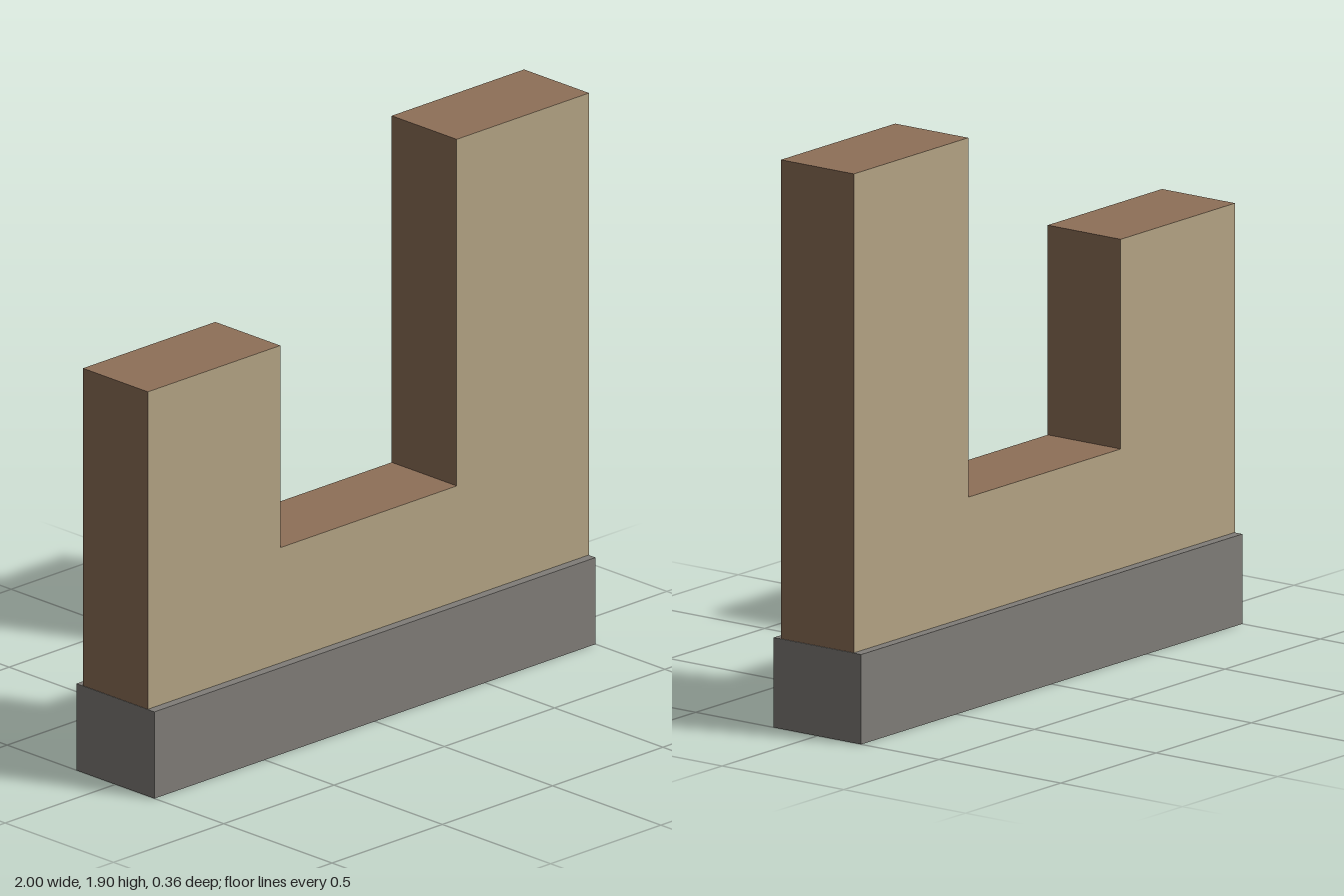
import * as THREE from 'three';

const WIDTH = 2, BASE_H = 0.3, BASE_D = 0.36, WALL_D = 0.3;

export function createModel() {
  const tan = new THREE.MeshStandardMaterial({ color: 0xb4a484 });
  tan.name = 'tan wall face';
  const brown = new THREE.MeshStandardMaterial({ color: 0x8e7058 });
  brown.name = 'brown wall edge';
  const grey = new THREE.MeshStandardMaterial({ color: 0x807d78, side: THREE.DoubleSide });
  grey.name = 'grey base';

  const model = new THREE.Group();
  model.name = 'steppedWall';
  const add = (name, geometry, material, x, y, z) => {
    const mesh = new THREE.Mesh(geometry, material);
    mesh.name = name;
    mesh.position.set(x, y, z);
    model.add(mesh);
  };

  // Wall with a low middle and two towers: tan faces, brown edges.
  // It starts a hair above the base top so the two surfaces do not coincide.
  const outline = new THREE.Shape([
    [-1, BASE_H + 0.001], [1, BASE_H + 0.001], [1, 1.9], [0.4, 1.9],
    [0.4, 0.7], [-0.4, 0.7], [-0.4, 1.4], [-1, 1.4],
  ].map(([x, y]) => new THREE.Vector2(x, y)));
  const wall = new THREE.ExtrudeGeometry(outline, { depth: WALL_D, bevelEnabled: false });
  add('wall', wall, [tan, brown], 0, 0, -WALL_D / 2);

  // Hollow base, open underneath: drop the box's bottom face
  const shell = new THREE.BoxGeometry(WIDTH, BASE_H, BASE_D);
  const faces = Array.from(shell.index.array);
  faces.splice(18, 6);
  shell.setIndex(faces);
  shell.clearGroups();
  add('baseShell', shell, grey, 0, BASE_H / 2, 0);

  // Thin partitions under the tower edges
  for (const x of [-0.4, 0.4]) {
    const partition = new THREE.PlaneGeometry(BASE_D, BASE_H).rotateY(Math.PI / 2);
    add(x < 0 ? 'rightPartition' : 'leftPartition', partition, grey, x, BASE_H / 2, 0);
  }

  return model;
}
